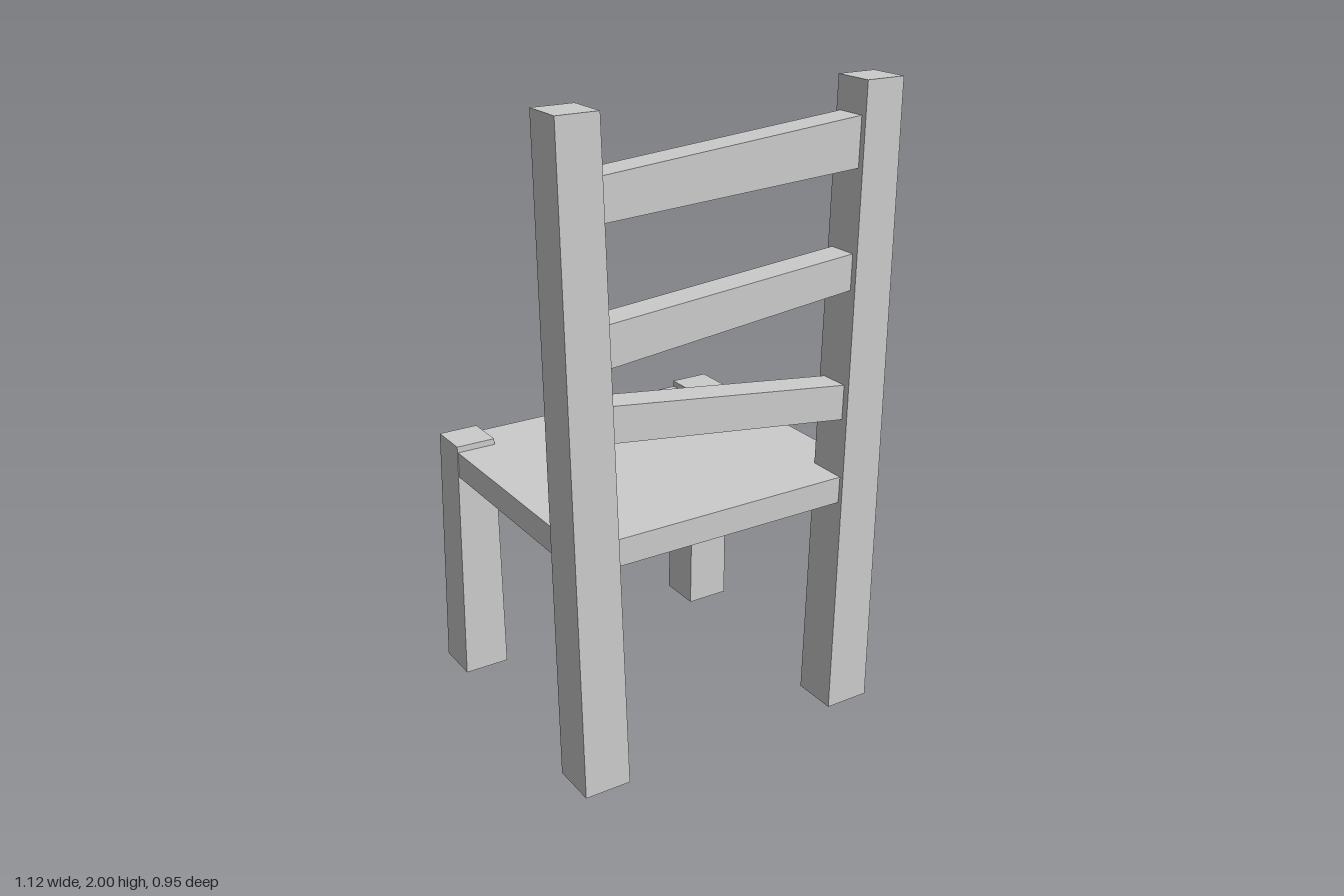
import * as THREE from 'three';

const material = new THREE.MeshStandardMaterial({ color: 0xcccccc, flatShading: true });

// Unit box whose corners are placed by rule(sx, sy, sz), each sign being -1 or 1
function shapedBox(name, rule) {
  const geometry = new THREE.BoxGeometry(2, 2, 2);
  const p = geometry.attributes.position;
  for (let i = 0; i < p.count; i++) {
    p.setXYZ(i, ...rule(Math.sign(p.getX(i)), Math.sign(p.getY(i)), Math.sign(p.getZ(i))));
  }
  geometry.computeVertexNormals();
  const mesh = new THREE.Mesh(geometry, material);
  mesh.name = name;
  return mesh;
}

// Tapered, leaning square post; bottom and top are [inner x, outer x, min z, max z]
function post(name, side, height, bottom, top) {
  return shapedBox(name, (sx, sy, sz) => {
    const [inner, outer, z0, z1] = sy < 0 ? bottom : top;
    return [side * (sx === side ? outer : inner), sy < 0 ? 0 : height, sz < 0 ? z0 : z1];
  });
}

// Back posts lean outward and inward in depth; slats follow them
const postInnerX = (y) => 0.375 + 0.0275 * y;
const postCentreZ = (y) => 0.4025 - 0.0115 * y;

// Slat between the back posts, with separate heights at each end
function slat(name, [rightLow, rightHigh], [leftLow, leftHigh]) {
  return shapedBox(name, (sx, sy, sz) => {
    const y = sx < 0 ? (sy < 0 ? rightLow : rightHigh) : (sy < 0 ? leftLow : leftHigh);
    return [sx * (postInnerX(y) + 0.004), y, postCentreZ(y) + sz * 0.048];
  });
}

export function createModel() {
  const chair = new THREE.Group();
  chair.name = 'chair';

  // Tall back posts and short legs
  for (const [side, label] of [[1, 'left'], [-1, 'right']]) {
    chair.add(post(`${label}BackPost`, side, 2, [0.375, 0.525, 0.33, 0.477], [0.43, 0.56, 0.315, 0.445]));
    chair.add(post(`${label}ShortLeg`, side, 0.82, [0.375, 0.525, -0.477, -0.33], [0.385, 0.515, -0.469, -0.338]));
  }

  // Seat panel
  chair.add(shapedBox('seat', (sx, sy, sz) => [sx * 0.513, sy < 0 ? 0.715 : 0.8, sz < 0 ? -0.467 : 0.45]));

  // Crooked backrest slats
  chair.add(slat('topSlat', [1.705, 1.83], [1.75, 1.9]));
  chair.add(slat('middleSlat', [1.305, 1.43], [1.39, 1.5]));
  chair.add(slat('lowerSlat', [1.09, 1.2], [0.985, 1.095]));

  return chair;
}
